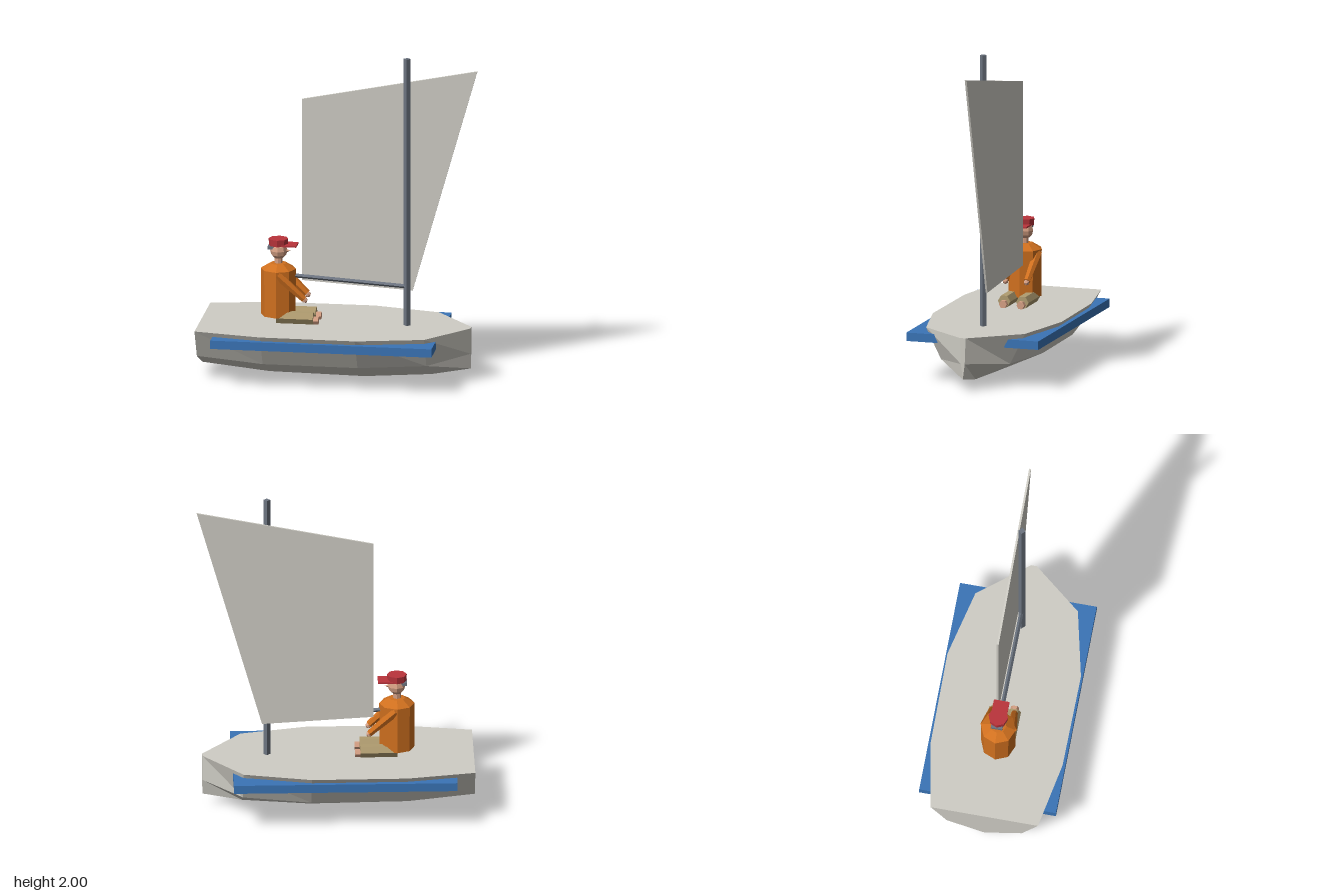
import * as THREE from 'three';

const mat = (name, color) => {
  const m = new THREE.MeshStandardMaterial({ color, flatShading: true });
  m.name = name;
  return m;
};

// Closed hull lofted through five-point sections: deck, chine, keel, chine, deck
function hullGeometry() {
  // x, deck half width, chine half width, chine height, keel height
  const stations = [
    [-0.84, 0.33, 0.23, 0.15, 0.05],
    [-0.43, 0.405, 0.285, 0.13, 0.008],
    [0.15, 0.41, 0.29, 0.13, 0],
    [0.56, 0.315, 0.22, 0.14, 0.03],
    [0.8, 0.018, 0.012, 0.17, 0.075],
  ];
  const pos = [], idx = [], n = 5, last = (stations.length - 1) * n;
  for (const [x, deck, chine, cy, ky] of stations) {
    pos.push(x, 0.33, deck, x, cy, chine, x, ky, 0, x, cy, -chine, x, 0.33, -deck);
  }
  for (let i = 0; i < stations.length - 1; i++) {
    for (let j = 0; j < n; j++) {
      const a = i * n + j, d = i * n + (j + 1) % n;
      idx.push(a, d, d + n, a, d + n, a + n);
    }
  }
  for (let k = 1; k < n - 1; k++) {
    idx.push(0, k + 1, k, last, last + k, last + k + 1);
  }
  const g = new THREE.BufferGeometry();
  g.setAttribute('position', new THREE.Float32BufferAttribute(pos, 3));
  g.setIndex(idx);
  const flat = g.toNonIndexed();
  flat.computeVertexNormals();
  return flat;
}

export function createModel() {
  const hullWhite = mat('hull white', 0xcfcdc5);
  const blue = mat('rail blue', 0x3a74b6);
  const grey = mat('spar grey', 0x6c7480);
  const orange = mat('jacket orange', 0xd0701f);
  const khaki = mat('trouser khaki', 0xb09c70);
  const skin = mat('skin', 0xd6a084);
  const red = mat('cap red', 0xba343c);

  const boat = new THREE.Group();
  boat.name = 'sailingBoat';
  const sailor = new THREE.Group();
  sailor.name = 'sailor';
  boat.add(sailor);

  const add = (parent, name, geo, material, x = 0, y = 0, z = 0) => {
    const m = new THREE.Mesh(geo, material);
    m.name = name;
    m.position.set(x, y, z);
    parent.add(m);
    return m;
  };
  // Tapered prism between two points
  const rod = (parent, name, from, to, r0, r1, sides, material) => {
    const a = new THREE.Vector3(...from), b = new THREE.Vector3(...to);
    const dir = b.clone().sub(a);
    const m = add(parent, name, new THREE.CylinderGeometry(r1, r0, dir.length(), sides), material);
    m.position.copy(a).add(b).multiplyScalar(0.5);
    m.quaternion.setFromUnitVectors(new THREE.Vector3(0, 1, 0), dir.normalize());
    return m;
  };

  // Hull and side rails
  add(boat, 'hull', hullGeometry(), hullWhite);
  for (const s of [1, -1]) {
    add(boat, s > 0 ? 'frontRail' : 'backRail', new THREE.BoxGeometry(1.35, 0.052, 0.28),
      blue, -0.055, 0.276, s * 0.28);
  }

  // Mast, boom and sail
  rod(boat, 'mast', [0.41, 0.32, 0], [0.41, 2, 0], 0.021, 0.021, 4, grey);
  rod(boat, 'boom', [0.41, 0.572, -0.003], [-0.29, 0.614, -0.003], 0.013, 0.013, 4, grey);
  const outline = new THREE.Shape([
    [-0.235, 0.58], [0.44, 0.542], [0.835, 1.93], [-0.235, 1.715],
  ].map(([x, y]) => new THREE.Vector2(x, y)));
  add(boat, 'sail', new THREE.ExtrudeGeometry(outline, { depth: 0.012, bevelEnabled: false }),
    hullWhite, 0, 0, -0.036);

  // Jacket with sloping shoulders
  const jacket = [[0, 0.368], [0.105, 0.368], [0.107, 0.655], [0.05, 0.69], [0, 0.692]]
    .map(([r, y]) => new THREE.Vector2(r, y));
  add(sailor, 'jacket', new THREE.LatheGeometry(jacket, 8), orange, -0.376);

  // Arms, hands, legs and feet
  for (const s of [1, -1]) {
    const side = s > 0 ? 'front' : 'back';
    rod(sailor, side + 'Arm', [-0.37, 0.635, s * 0.082], [-0.21, 0.487, s * 0.068], 0.03, 0.021, 6, orange);
    add(sailor, side + 'Hand', new THREE.IcosahedronGeometry(0.02, 0), skin, -0.206, 0.481, s * 0.067);
    const leg = add(sailor, side + 'Leg', new THREE.CylinderGeometry(0.04, 0.04, 0.225, 6), khaki,
      -0.265, 0.367, s * 0.058);
    leg.rotation.z = Math.PI / 2;
    const foot = add(sailor, side + 'Foot', new THREE.CylinderGeometry(0.025, 0.025, 0.06, 6), skin,
      -0.152, 0.353, s * 0.056);
    foot.rotation.z = Math.PI / 2;
  }

  // Head
  rod(sailor, 'neck', [-0.376, 0.68, 0], [-0.376, 0.74, 0], 0.024, 0.024, 8, skin);
  add(sailor, 'head', new THREE.SphereGeometry(0.053, 8, 6), skin, -0.374, 0.768, 0);
  const nose = add(sailor, 'nose', new THREE.ConeGeometry(0.012, 0.026, 4), skin, -0.315, 0.768, 0);
  nose.rotation.z = -Math.PI / 2;
  add(sailor, 'capStrap', new THREE.BoxGeometry(0.045, 0.018, 0.07), grey, -0.415, 0.789, 0);

  // Cap with a peak pointing to the bow
  add(sailor, 'cap', new THREE.CylinderGeometry(0.06, 0.057, 0.042, 8), red, -0.376, 0.822, 0);
  add(sailor, 'capPeak', new THREE.BoxGeometry(0.115, 0.01, 0.096), red, -0.318, 0.806, 0);

  return boat;
}
